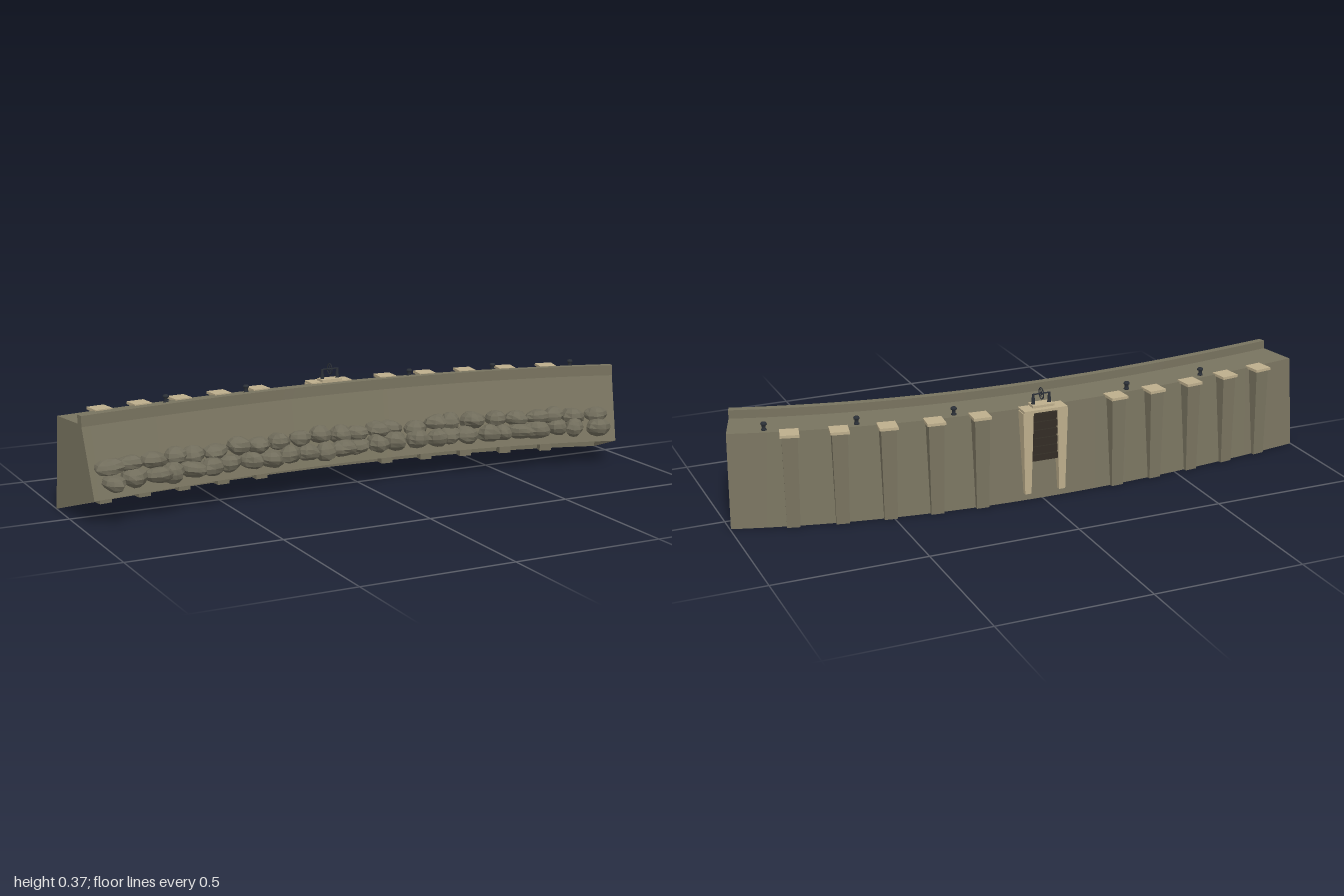
import * as THREE from 'three';

const mat = (name, color, side = THREE.FrontSide) => {
  const m = new THREE.MeshStandardMaterial({ color, side });
  m.name = name;
  return m;
};

export function createModel() {
  const model = new THREE.Group();
  const concrete = mat('concrete', 0x78735f, THREE.DoubleSide);
  const rock = mat('rock', 0x716d5c);
  rock.flatShading = true;
  const stone = mat('paleStone', 0xbdae8c);
  const timber = mat('darkTimber', 0x332d25);
  const iron = mat('iron', 0x2b3037);

  let seed = 7;
  const rnd = (a, b) => {
    seed = (seed * 16807) % 2147483647;
    return a + (b - a) * (seed / 2147483647);
  };

  // Gently curved ground line of the wall's back foot, with its forward normal
  const X0 = -1, X1 = 0.997, L = X1 - X0;
  const Z0 = -0.132, Z1 = -0.064, M0 = -0.167, M1 = 0.333;
  const frame = (x) => {
    const u = (x - X0) / L, v = 1 - u;
    const z = (1 + 2 * u) * v * v * Z0 + u * u * (3 - 2 * u) * Z1
      + L * (u * v * v * M0 - u * u * v * M1);
    const slope = (6 * u * v * (Z1 - Z0)) / L + (1 - 4 * u + 3 * u * u) * M0 + (3 * u * u - 2 * u) * M1;
    const n = new THREE.Vector3(-slope, 0, 1).normalize();
    return { p: new THREE.Vector3(x, 0, z), n };
  };
  const point = (x, d, y) => {
    const { p, n } = frame(x);
    p.addScaledVector(n, d).y = y;
    return p;
  };
  // Group standing on the ground line: local +z points to the wall's front
  const station = (name, x) => {
    const { p, n } = frame(x), g = new THREE.Group();
    g.name = name;
    g.position.copy(p);
    g.rotation.y = Math.atan2(n.x, n.z);
    model.add(g);
    return g;
  };
  const add = (parent, name, geo, material, x = 0, y = 0, z = 0) => {
    const m = new THREE.Mesh(geo, material);
    m.name = name;
    m.position.set(x, y, z);
    parent.add(m);
    return m;
  };
  // Box from y0 to y1 and z0 to z1 that is narrower at its foot
  const block = (wTop, wFoot, y0, y1, z0, z1) => {
    const g = new THREE.BoxGeometry(1, y1 - y0, z1 - z0).translate(0, (y0 + y1) / 2, (z0 + z1) / 2);
    const p = g.attributes.position;
    for (let i = 0; i < p.count; i++) {
      p.setX(i, p.getX(i) * (p.getY(i) > (y0 + y1) / 2 ? wTop : wFoot));
    }
    g.computeVertexNormals();
    return g;
  };

  // Wall body: cross-section (depth, height) swept along the curve, open underneath
  const profile = [[0, 0], [0.03, 0.307], [0.165, 0.307], [0.165, 0.335],
    [0.19, 0.335], [0.19, 0.3], [0.258, 0.081]];
  const N = 48, pos = [], idx = [];
  for (let e = 0; e < profile.length - 1; e++) {
    const start = pos.length / 3;
    for (let i = 0; i <= N; i++) {
      const x = X0 + (L * i) / N;
      for (const [d, y] of [profile[e], profile[e + 1]]) pos.push(...point(x, d, y).toArray());
      if (i < N) {
        const a = start + 2 * i;
        idx.push(a, a + 1, a + 2, a + 1, a + 3, a + 2);
      }
    }
  }
  // End faces
  const tris = THREE.ShapeUtils.triangulateShape(profile.map(([d, y]) => new THREE.Vector2(d, y)), []);
  for (const x of [X0, X1]) {
    const start = pos.length / 3;
    for (const [d, y] of profile) pos.push(...point(x, d, y).toArray());
    const probe = new THREE.Triangle(...tris[0].map((k) => point(x, ...profile[k])));
    const flip = probe.getNormal(new THREE.Vector3()).x * x < 0;
    for (const [a, b, c] of tris) idx.push(start + a, start + (flip ? c : b), start + (flip ? b : c));
  }
  const wall = new THREE.BufferGeometry();
  wall.setAttribute('position', new THREE.Float32BufferAttribute(pos, 3));
  wall.setIndex(idx);
  wall.computeVertexNormals();
  add(model, 'seaWall', wall, concrete);

  // Buttresses on the back with pale capstones
  for (const x of [-0.845, -0.705, -0.56, -0.415, -0.27, 0.21, 0.36, 0.51, 0.66, 0.81]) {
    const g = station('buttress', x);
    add(g, 'buttressShaft', block(0.05, 0.042, 0, 0.303, -0.012, 0.035), concrete);
    add(g, 'capstone', block(0.06, 0.06, 0.302, 0.311, -0.018, 0.043), stone);
  }

  // Sluice gate with stone jambs, slatted door and winding gear
  const sluice = station('sluiceGate', -0.005);
  for (const s of [-1, 1]) {
    add(sluice, 'jamb', block(0.036, 0.022, 0.025, 0.303, -0.012, 0.035), stone, s * 0.06);
    add(sluice, 'windingPost', new THREE.CylinderGeometry(0.004, 0.007, 0.034, 8), iron, s * 0.028, 0.335, 0.025);
  }
  add(sluice, 'lintel', block(0.15, 0.15, 0.302, 0.311, -0.015, 0.04), stone);
  add(sluice, 'gearPlinth', block(0.075, 0.075, 0.311, 0.319, 0.004, 0.045), stone);
  add(sluice, 'gatePanel', block(0.09, 0.09, 0.13, 0.302, 0, 0.03), timber);
  for (let i = 0; i < 6; i++) {
    const y = 0.133 + i * 0.028;
    add(sluice, 'gateBoard', block(0.092, 0.092, y, y + 0.021, -0.006, 0.002), timber);
  }
  add(sluice, 'windingShaft', new THREE.CylinderGeometry(0.0025, 0.0025, 0.064, 8).rotateZ(Math.PI / 2), iron, 0, 0.351, 0.025);
  add(sluice, 'handwheelRim', new THREE.TorusGeometry(0.0185, 0.0017, 6, 28).rotateY(Math.PI / 2), iron, 0, 0.351, 0.025);
  for (let i = 0; i < 3; i++) {
    const spoke = new THREE.CylinderGeometry(0.001, 0.001, 0.037, 6).rotateX((i * Math.PI) / 3 + Math.PI / 6);
    add(sluice, 'handwheelSpoke', spoke, iron, 0, 0.351, 0.025);
  }

  // Mooring bollards on the walkway
  const bollard = new THREE.LatheGeometry([[0, 0], [0.009, 0], [0.009, 0.004], [0.006, 0.006], [0.006, 0.016],
    [0.01, 0.019], [0.01, 0.023], [0.007, 0.027], [0, 0.027]].map(([r, y]) => new THREE.Vector2(r, y)), 12);
  for (const x of [-0.63, -0.335, 0.285, 0.6, 0.885]) {
    add(station('mooring', x), 'bollard', bollard, iron, 0, 0.306, 0.053);
  }

  // Boulder: faceted ellipsoid with a shaken outline
  const boulder = (rx, ry, rz) => {
    const g = new THREE.SphereGeometry(1, 9, 6);
    const p = g.attributes.position;
    const a = rnd(0, 6), b = rnd(0, 6), v = new THREE.Vector3();
    for (let i = 0; i < p.count; i++) {
      v.fromBufferAttribute(p, i);
      const k = 1 + 0.1 * Math.sin(3 * v.x + a) + 0.08 * Math.sin(4 * v.z + 2 * v.y + b);
      p.setXYZ(i, v.x * rx * k, v.y * ry * k, v.z * rz * k);
    }
    g.computeVertexNormals();
    return g;
  };
  // Two rows of boulders along the front face
  const rows = [
    { name: 'lowerBoulder', count: 27, y: 0.138, d: 0.285, ry: 0.029 },
    { name: 'upperBoulder', count: 25, y: 0.178, d: 0.252, ry: 0.027 },
  ];
  for (const r of rows) {
    for (let i = 0; i < r.count; i++) {
      const x = -0.945 + (1.86 * (i + rnd(-0.2, 0.2))) / (r.count - 1);
      const g = station(r.name + 'Spot', Math.max(-0.945, Math.min(0.92, x)));
      const b = add(g, r.name, boulder(rnd(0.036, 0.05), r.ry * rnd(0.9, 1.08), rnd(0.036, 0.046)), rock,
        0, r.y + rnd(-0.006, 0.006), r.d + rnd(-0.012, 0.006));
      b.rotation.set(0, rnd(0, 6), rnd(-0.12, 0.12));
    }
  }
  return model;
}
